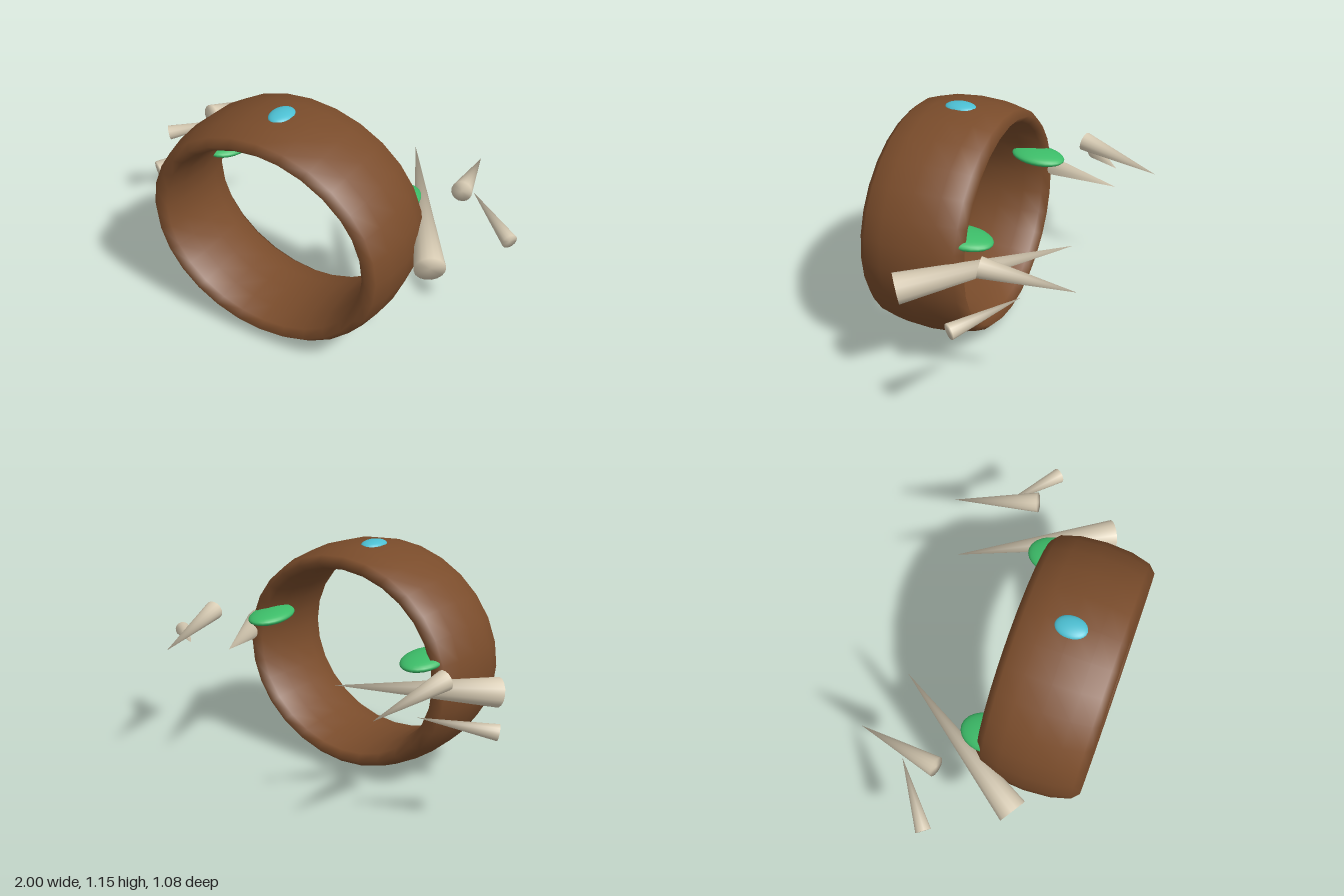
import * as THREE from 'three';
import { mergeVertices } from 'three/addons/utils/BufferGeometryUtils.js';

const material = (name, color) => {
  const m = new THREE.MeshStandardMaterial({ color });
  m.name = name;
  return m;
};

export function createModel() {
  const brown = material('brown leather', 0x7a4c2b);
  const bone = material('bone', 0xd8ccb4);
  const green = material('green', 0x3cbc68);
  const blue = material('light blue', 0x4cbfd2);

  const group = new THREE.Group();
  group.name = 'hornedBand';

  const add = (name, geometry, mat) => {
    const mesh = new THREE.Mesh(geometry, mat);
    mesh.name = name;
    group.add(mesh);
    return mesh;
  };

  // Wide oval band: a torus stretched along its axis
  const bandGeo = new THREE.TorusGeometry(0.5685, 0.0715, 12, 28);
  bandGeo.scale(1, 0.885, 0.26 / 0.0715);
  const band = add('band', bandGeo, brown);
  band.position.set(0, 0.57, 0.271);
  band.rotation.x = 0.008;

  // Flattened ellipsoid
  const ellipsoid = (name, mat, center, radii) => {
    const geo = new THREE.SphereGeometry(1, 24, 16);
    geo.scale(...radii);
    const mesh = add(name, geo, mat);
    mesh.position.set(...center);
    return mesh;
  };

  // Gem on top of the band
  ellipsoid('topGem', blue, [-0.015, 1.125, 0.272], [0.056, 0.024, 0.078]);

  // Leaf-shaped studs at the back edge
  const leftStud = ellipsoid('leftStud', green, [0.468, 0.719, 0.05], [0.098, 0.033, 0.14]);
  const rightStud = ellipsoid('rightStud', green, [-0.48, 0.7, 0.05], [0.098, 0.033, 0.14]);
  leftStud.rotation.x = rightStud.rotation.x = -0.08;

  // Tapered spike from a base centre to a tip, with a softly shaded base
  const spike = (name, base, tip, radius) => {
    const a = new THREE.Vector3(...base);
    const dir = new THREE.Vector3(...tip).sub(a);
    const height = dir.length();
    let geo = new THREE.ConeGeometry(radius, height, 16);
    geo.deleteAttribute('uv');
    geo.deleteAttribute('normal');
    geo = mergeVertices(geo);
    geo.computeVertexNormals();
    geo.translate(0, height / 2, 0);
    const mesh = add(name, geo, bone);
    mesh.position.copy(a);
    mesh.quaternion.setFromUnitVectors(new THREE.Vector3(0, 1, 0), dir.normalize());
  };

  // Three spikes on each side; the right set sits slightly lower
  for (const [side, sign, shift, drop] of [['left', 1, 0, 0], ['right', -1, 0.008, 1]]) {
    const x = (v) => sign * (v + shift);
    spike(side + 'LargeSpike', [x(0.748), 0.565 - 0.025 * drop, 0.262], [x(0.32), 0.698 - 0.018 * drop, -0.417], 0.073);
    spike(side + 'UpperSpike', [x(0.706), 0.74 - 0.03 * drop, -0.125], [x(0.62), 0.658 - 0.028 * drop, -0.54], 0.049);
    spike(side + 'OuterSpike', [x(0.973), 0.572 - 0.047 * drop, -0.1], [x(0.69), 0.62 - 0.03 * drop, -0.31], 0.038);
  }

  return group;
}
